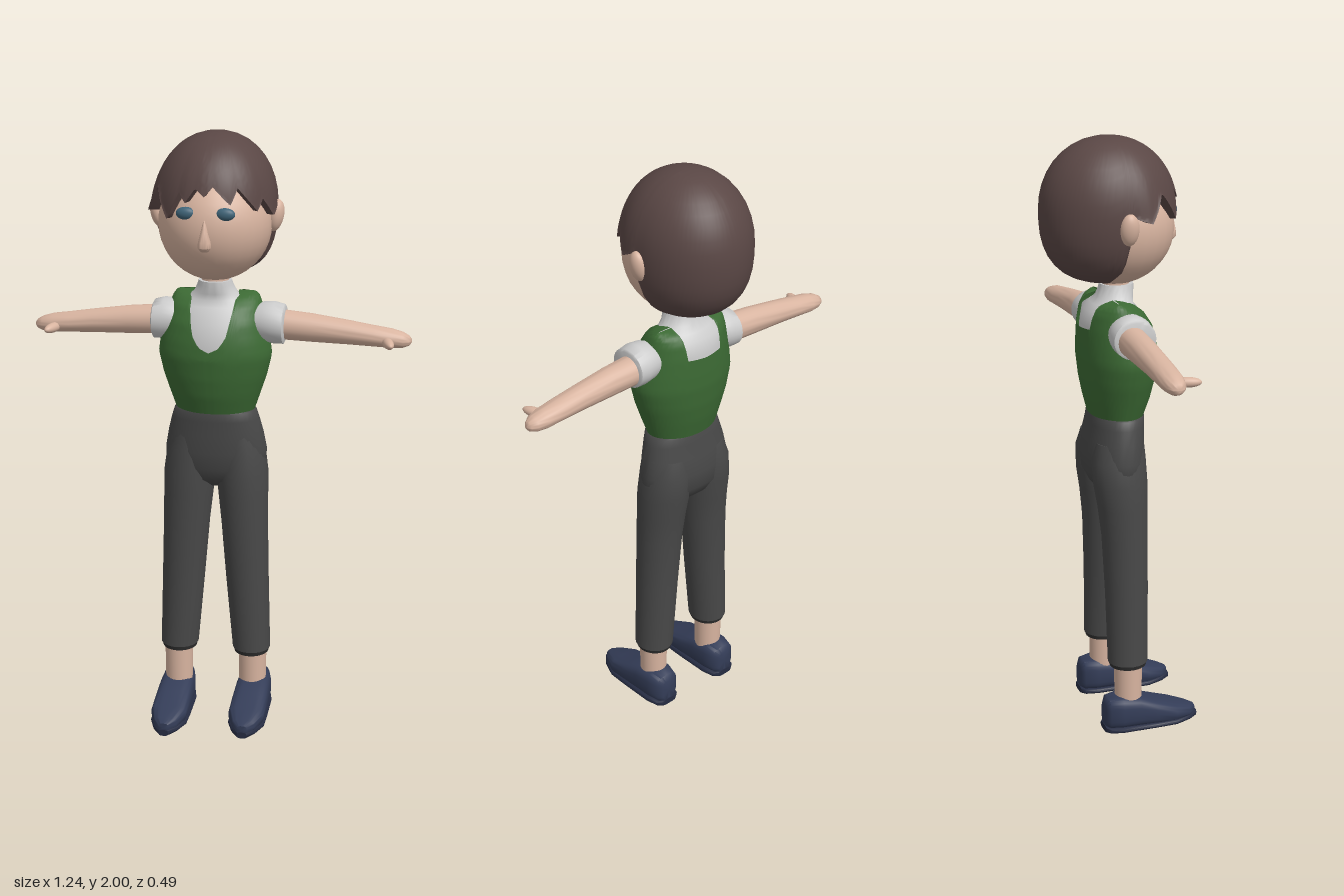
import * as THREE from 'three';
import { toCreasedNormals } from 'three/addons/utils/BufferGeometryUtils.js';

const MID = -0.012; // the body's centre line
const mats = {};
const paint = {
  skin: 0xd8b4a0, hair: 0x5a4745, vest: 0x3c6a34, shirt: 0xd6d6d6,
  trousers: 0x484848, cuff: 0x303030, shoe: 0x343d58, sole: 0x262c42, eye: 0x3f6478
};

function mesh(name, geometry, color) {
  mats[color] ??= new THREE.MeshStandardMaterial({ color: paint[color], side: THREE.DoubleSide });
  const m = new THREE.Mesh(geometry, mats[color]);
  m.name = name;
  return m;
}

// Closed band of quads; point(row, angle) returns [x, y, z], rows running upwards
function band(rows, cols, point, crease = 0.9) {
  const pos = [], index = [];
  for (let r = 0; r <= rows; r++)
    for (let c = 0; c < cols; c++) pos.push(...point(r, c / cols * Math.PI * 2));
  for (let r = 0; r < rows; r++)
    for (let c = 0; c < cols; c++) {
      const a = r * cols + c, b = r * cols + (c + 1) % cols;
      index.push(a, b, b + cols, a, b + cols, a + cols);
    }
  const g = new THREE.BufferGeometry();
  g.setAttribute('position', new THREE.Float32BufferAttribute(pos, 3));
  g.setIndex(index);
  return toCreasedNormals(g, crease);
}

// Capped loft through upright sections [y, cx, cz, rx, rz]; power below 1 makes them boxier
function loft(sections, power = 1, cols = 28) {
  const cap = s => [s[0], s[1], s[2], 1e-5, 1e-5];
  const all = [cap(sections[0]), ...sections, cap(sections.at(-1))];
  const bend = v => Math.sign(v) * Math.abs(v) ** power;
  return band(all.length - 1, cols, (r, a) => {
    const [y, cx, cz, rx, rz] = all[r];
    return [cx + rx * bend(Math.sin(a)), y, cz + rz * bend(Math.cos(a))];
  });
}

// Linear lookup in a table whose first column is the key
function lookup(table, key) {
  let i = 1;
  while (i < table.length - 1 && table[i][0] < key) i++;
  const a = table[i - 1], b = table[i];
  const t = THREE.MathUtils.clamp((key - a[0]) / (b[0] - a[0]), 0, 1);
  return a.map((v, k) => v + (b[k] - v) * t);
}

function ball(name, color, [x, y, z], [sx, sy, sz]) {
  const m = mesh(name, new THREE.SphereGeometry(1, 28, 20), color);
  m.position.set(x, y, z);
  m.scale.set(sx, sy, sz);
  return m;
}

// Hairline: [angle from the front, lowest y, outward flare]
const hairline = [
  [-180, 1.545, 0], [-105, 1.545, 0], [-91, 1.6, 0], [-85, 1.775, 0.03], [-72, 1.755, 0.12],
  [-57, 1.84, 0.04], [-37, 1.745, 0.05], [-26, 1.835, 0], [-18, 1.805, 0.02], [-9, 1.85, 0],
  [0, 1.825, 0.01], [8, 1.855, 0], [24, 1.8, 0.02], [32, 1.85, 0], [50, 1.775, 0.04],
  [58, 1.81, 0.02], [71, 1.75, 0.06], [85, 1.78, 0.02], [91, 1.6, 0], [105, 1.545, 0], [180, 1.545, 0]
];

function hairGeometry() {
  return band(19, 180, (r, a) => {
    let deg = a * 180 / Math.PI;
    if (deg > 180) deg -= 360;
    const [, low, flare] = lookup(hairline, deg);
    const t = Math.max(0, r - 1) / 18;
    const y = low + (2 - low) * (1 - Math.cos(Math.PI * t)) / 2;
    const h = Math.min(1, Math.abs(y - 1.77) / 0.23);
    const p = y < 1.77 ? 2.6 : 2.1;
    // the first row folds in under the hair's edge
    const k = (1 - h ** p) ** (1 / p) * (1 + flare * (1 - t) ** 2) * (r === 0 ? 0.78 : 1);
    return [0.195 * k * Math.sin(a), y, -0.025 + 0.22 * k * Math.cos(a)];
  }, 1.2);
}

// Vest: [y, cz, rx, rz], and its upper edge by angle from the front
const vestShape = [
  [1.1, 0, 0.13, 0.088], [1.16, 0.003, 0.15, 0.106], [1.22, 0.004, 0.17, 0.118], [1.29, 0.005, 0.186, 0.126],
  [1.34, 0.003, 0.179, 0.124], [1.4, -0.003, 0.165, 0.116], [1.45, -0.015, 0.151, 0.095],
  [1.475, -0.025, 0.141, 0.068], [1.486, -0.03, 0.131, 0.035], [1.49, -0.03, 0.122, 0.003]
];
const neckline = [
  [0, 1.315], [10, 1.33], [18, 1.365], [24, 1.42], [30, 1.47], [35, 1.49],
  [145, 1.49], [151, 1.46], [156, 1.4], [180, 1.395]
];

function vestGeometry() {
  return band(30, 120, (r, a) => {
    const deg = a * 180 / Math.PI;
    const top = lookup(neckline, Math.min(deg, 360 - deg))[1];
    const y = 1.1 + (top - 1.1) * Math.sin(r / 30 * Math.PI / 2);
    const [, cz, rx, rz] = lookup(vestShape, y);
    return [rx * Math.sin(a), y, cz + rz * Math.cos(a)];
  }, 1.2);
}

function head() {
  const g = new THREE.Group();
  g.name = 'head';
  g.add(
    ball('face', 'skin', [0, 1.715, 0], [0.182, 0.185, 0.19]),
    mesh('hair', hairGeometry(), 'hair'),
    mesh('nose', loft([
      [1.655, 0, 0.182, 0.012, 0.012], [1.668, 0, 0.185, 0.022, 0.023],
      [1.685, 0, 0.186, 0.02, 0.021], [1.72, 0, 0.184, 0.011, 0.017], [1.765, 0, 0.172, 0.003, 0.008]
    ], 1, 16), 'skin'),
    mesh('neck', new THREE.CylinderGeometry(0.043, 0.046, 0.12, 24).translate(0, 1.53, 0.002), 'skin')
  );
  for (const s of [-1, 1]) {
    g.add(ball('eye', 'eye', [s * 0.062, 1.77, 0.167], [0.031, 0.02, 0.016]));
    const ear = ball('ear', 'skin', [s * 0.19, 1.738, -0.02], [0.026, 0.052, 0.031]);
    ear.rotation.z = -s * 0.2;
    g.add(ear);
  }
  return g;
}

function arm(s) {
  const g = new THREE.Group();
  g.name = s > 0 ? 'leftArm' : 'rightArm';
  // sections [distance out, height, z, half height, half depth] laid along x
  const along = (list, power) =>
    loft(list.map(([d, y, z, ry, rz]) => [d, -s * y, z, ry, rz]), power).rotateZ(-s * Math.PI / 2);
  g.add(
    mesh('sleeve', along([
      [0.11, 1.395, -0.004, 0.05, 0.055], [0.145, 1.396, -0.003, 0.064, 0.067],
      [0.18, 1.394, -0.003, 0.068, 0.072], [0.212, 1.39, -0.003, 0.064, 0.07], [0.216, 1.39, -0.003, 0.056, 0.062]
    ]), 'shirt'),
    mesh('forearm', along([
      [0.19, 1.387, -0.012, 0.049, 0.049], [0.3, 1.38, -0.012, 0.046, 0.046], [0.42, 1.37, -0.013, 0.039, 0.042],
      [0.5, 1.362, -0.014, 0.034, 0.041], [0.56, 1.356, -0.016, 0.031, 0.038],
      [0.595, 1.352, -0.017, 0.025, 0.03], [0.614, 1.35, -0.018, 0.016, 0.018], [0.622, 1.35, -0.018, 0.005, 0.006]
    ]), 'skin')
  );
  const thumb = ball('thumb', 'skin', [s * 0.55, 1.35, 0.032], [0.017, 0.016, 0.046]);
  thumb.rotation.y = s * 0.3;
  g.add(thumb);
  return g;
}

function leg(s) {
  const g = new THREE.Group();
  g.name = s > 0 ? 'leftLeg' : 'rightLeg';
  const side = list => list.map(([y, x, ...rest]) => [y, s * x, ...rest]);
  // shoe sections [z, half width, bottom, top] laid along z
  const along = list => loft(list.map(([z, w, lo, hi]) =>
    [z, s * 0.134, -(lo + hi) / 2, w, (hi - lo) / 2]), 0.6).rotateX(Math.PI / 2);
  const lift = s > 0 ? 0.02 : 0.003;
  const shoe = mesh('shoe', along([
    [-0.086, 0.026, 0.02, 0.1], [-0.074, 0.045, 0.012, 0.12], [-0.03, 0.056, 0.01, 0.126],
    [0.03, 0.058, 0.01, 0.118], [0.09, 0.06, 0.01, 0.095], [0.16, 0.06, 0.01, 0.07],
    [0.215, 0.038, 0.01, 0.052], [0.24, 0.016, 0.012, 0.042]
  ]), 'shoe');
  const sole = mesh('sole', along([
    [-0.088, 0.03, 0, 0.022], [-0.074, 0.048, 0, 0.022], [-0.03, 0.058, 0, 0.022], [0.09, 0.062, 0, 0.022],
    [0.16, 0.062, 0, 0.022], [0.215, 0.041, 0, 0.022], [0.247, 0.016, 0, 0.022]
  ]), 'sole');
  shoe.position.y = sole.position.y = lift;
  g.add(
    mesh('trouserLeg', loft(side([
      [1.02, 0.075, -0.01, 0.07, 0.08], [0.96, 0.082, -0.016, 0.082, 0.09], [0.88, 0.088, -0.012, 0.087, 0.09],
      [0.8, 0.093, -0.006, 0.083, 0.083], [0.7, 0.099, -0.001, 0.078, 0.077], [0.5, 0.11, 0.002, 0.072, 0.072],
      [0.25, 0.125, 0.002, 0.064, 0.068]
    ]).reverse()), 'trousers'),
    mesh('cuff', loft(side([[0.235, 0.125, 0.002, 0.058, 0.062], [0.252, 0.125, 0.002, 0.063, 0.067]])), 'cuff'),
    mesh('ankle', new THREE.CylinderGeometry(0.048, 0.046, 0.17, 24).translate(s * 0.129, 0.175, 0.002), 'skin'),
    shoe, sole
  );
  return g;
}

export function createModel() {
  const model = new THREE.Group();
  model.name = 'figure';
  const body = new THREE.Group();
  body.name = 'body';
  body.position.x = MID;
  // the shirt follows the vest from inside, then narrows to the collar
  const shirt = vestShape.slice(1, 7).map(([y, cz, rx, rz]) => [y, 0, cz, rx - 0.014, rz - 0.01]);
  shirt.push([1.47, 0, -0.012, 0.1, 0.066], [1.49, 0, -0.003, 0.07, 0.06],
    [1.515, 0, 0.003, 0.058, 0.057], [1.53, 0, 0.005, 0.053, 0.055]);
  body.add(
    head(),
    mesh('shirt', loft(shirt, 1, 48), 'shirt'),
    mesh('vest', vestGeometry(), 'vest'),
    mesh('hips', loft([
      [0.83, 0, -0.01, 0.05, 0.03], [0.86, 0, -0.012, 0.13, 0.07], [0.9, 0, -0.014, 0.168, 0.088],
      [0.96, 0, -0.013, 0.169, 0.096], [1.02, 0, -0.008, 0.158, 0.092], [1.07, 0, -0.002, 0.145, 0.088],
      [1.098, 0, 0, 0.136, 0.087], [1.106, 0, 0, 0.126, 0.084]
    ], 0.95, 40), 'trousers'),
    leg(-1), leg(1)
  );
  model.add(body, arm(-1), arm(1));
  return model;
}
